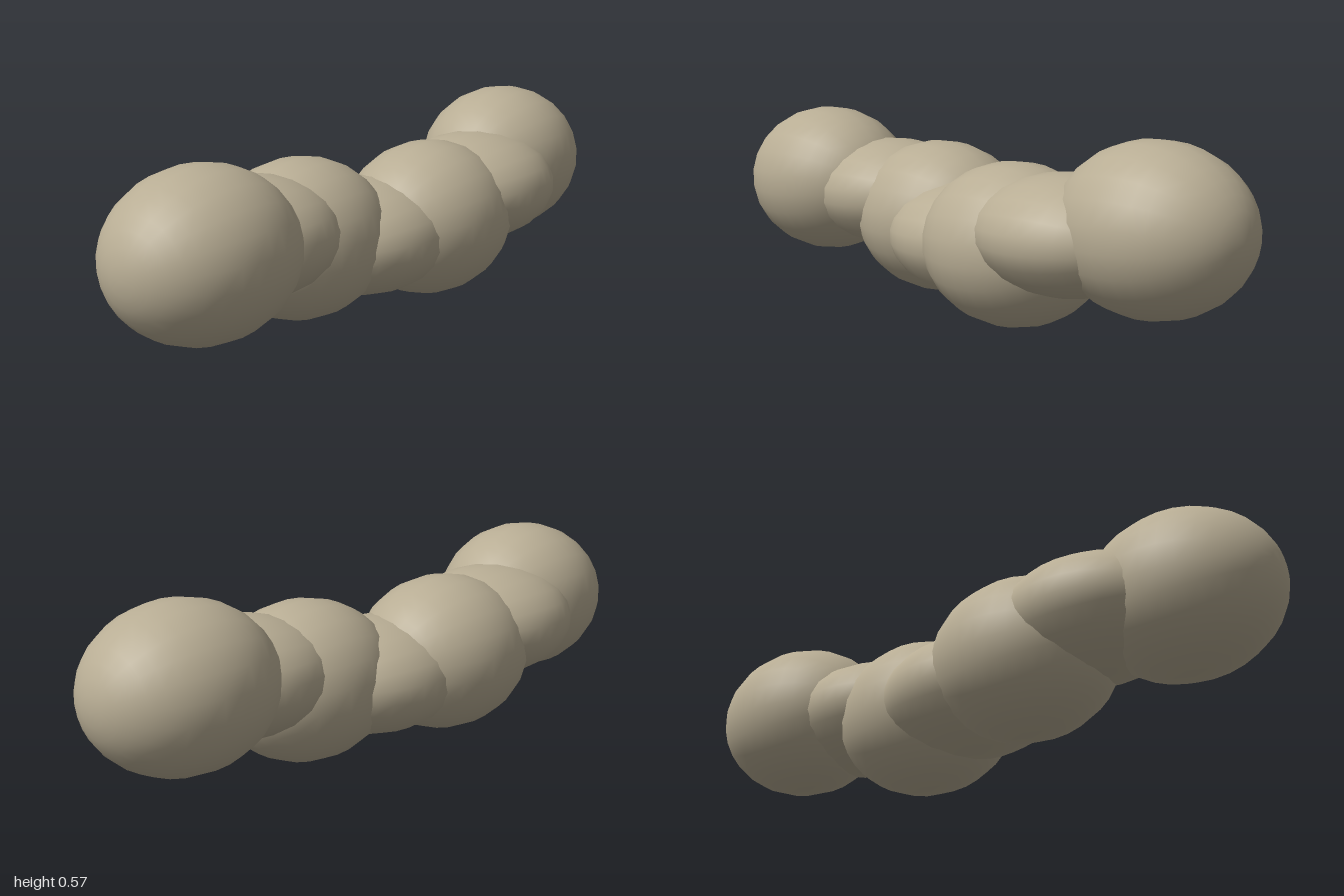
import * as THREE from 'three';

export function createModel() {
  const group = new THREE.Group();
  group.name = 'segmentedBody';
  const tan = new THREE.MeshStandardMaterial({ color: 0xb8ad94 });
  tan.name = 'tan';

  // Unit ball with its poles along the length of the body
  const ball = new THREE.SphereGeometry(1, 22, 18).rotateZ(Math.PI / 2);

  // Overlapping ellipsoids: name, centre x, y, z, half height
  const segments = [
    ['rightEnd', -0.715, 0.335, -0.003, 0.237],
    ['rightLink', -0.465, 0.31, -0.07, 0.171],
    ['rightLobe', -0.235, 0.254, -0.076, 0.236],
    ['middleLink', 0, 0.222, -0.014, 0.172],
    ['leftLobe', 0.23, 0.238, 0.052, 0.237],
    ['leftLink', 0.46, 0.297, 0.07, 0.17],
    ['leftEnd', 0.712, 0.335, 0.015, 0.237],
  ];
  for (const [name, x, y, z, halfHeight] of segments) {
    const mesh = new THREE.Mesh(ball, tan);
    mesh.name = name;
    mesh.position.set(x, y, z);
    mesh.scale.set(0.286, halfHeight, 0.248);
    group.add(mesh);
  }
  return group;
}
